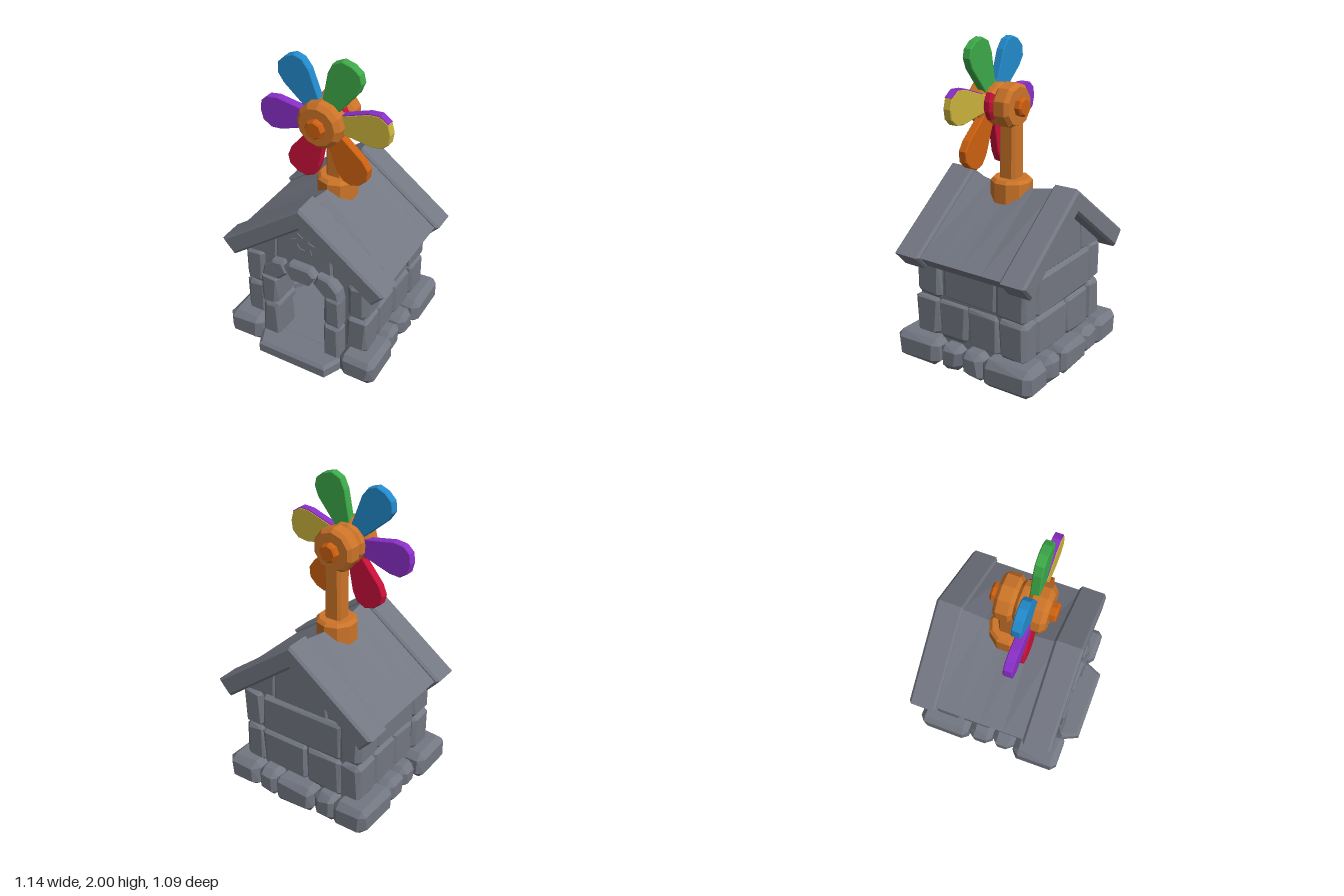
import * as THREE from 'three';
import { ConvexGeometry } from 'three/addons/geometries/ConvexGeometry.js';

const mat = (name, color) => {
  const m = new THREE.MeshStandardMaterial({ color });
  m.name = name;
  return m;
};

// Small seeded generator for irregular stones
let seed = 7;
const rnd = () => {
  seed = (seed * 16807) % 2147483647;
  return seed / 2147483647;
};
const jit = (a) => (rnd() - 0.5) * 2 * a;

// Chamfered, slightly irregular block between two corners
function block(x0, x1, y0, y1, z0, z1, c = 0.03, wobble = 0.008) {
  const pts = [];
  const mid = [(x0 + x1) / 2, (y0 + y1) / 2, (z0 + z1) / 2];
  const half = [(x1 - x0) / 2, (y1 - y0) / 2, (z1 - z0) / 2];
  for (const sx of [-1, 1]) for (const sy of [-1, 1]) for (const sz of [-1, 1]) {
    const s = [sx, sy, sz];
    const k = c + jit(wobble);
    for (let face = 0; face < 3; face++) {
      const p = s.map((sign, i) => mid[i] + sign * (half[i] - (i === face ? 0 : Math.max(0.002, k + jit(wobble)))));
      pts.push(new THREE.Vector3(...p));
    }
  }
  return new ConvexGeometry(pts);
}

// Extruded polygon from z0 to z1 with a bevel that stays inside the outline
function slab(points, z0, z1, bevel = 0.012, holes = [], steps = 1) {
  const shape = new THREE.Shape(points.map((p) => new THREE.Vector2(...p)));
  for (const h of holes) shape.holes.push(new THREE.Path(h.map((p) => new THREE.Vector2(...p))));
  const g = new THREE.ExtrudeGeometry(shape, {
    depth: z1 - z0 - 2 * bevel, steps, bevelEnabled: bevel > 0,
    bevelThickness: bevel, bevelSize: bevel, bevelOffset: -bevel, bevelSegments: 1,
  });
  return g.translate(0, 0, z0 + bevel);
}

// Faceted chamfered disc on the z axis
function disc(r, z0, z1, b, sides, start = 0, length = Math.PI * 2) {
  const h = z1 - z0;
  const profile = [[0, 0], [r - b, 0], [r, b], [r, h - b], [r - b, h], [0, h]];
  const g = new THREE.LatheGeometry(profile.map((p) => new THREE.Vector2(...p)), sides, start, length).toNonIndexed();
  g.computeVertexNormals();
  return g.rotateX(Math.PI / 2).translate(0, 0, z0);
}

const mirror = (pts) => pts.map(([x, y]) => [-x, y]).reverse();

export function createModel() {
  seed = 7;
  const root = new THREE.Group();
  const stone = mat('stone grey', 0x737782);
  const wood = mat('hub orange', 0xcc7428);
  const orange = mat('deep orange', 0xcc6010);
  const red = mat('red', 0xc8103a);
  const purple = mat('purple', 0x8a2fc8);
  const blue = mat('blue', 0x228acb);
  const green = mat('green', 0x3ca848);
  const yellow = mat('yellow', 0xc9b23c);

  const group = (name, parent = root) => {
    const g = new THREE.Group();
    g.name = name;
    parent.add(g);
    return g;
  };
  const add = (parent, name, geo, m = stone) => {
    const mesh = new THREE.Mesh(geo, m);
    mesh.name = name;
    parent.add(mesh);
    return mesh;
  };

  // Foundation: floor, ring of rounded stones and doorstep
  const base = group('foundation');
  add(base, 'floor', block(-0.4, 0.4, 0.01, 0.1, -0.45, 0.41, 0.01, 0));
  for (const s of [-1, 1]) {
    for (const [z0, z1, out, y1] of [[0.14, 0.46, 0.53, 0.19], [-0.02, 0.14, 0.5, 0.17],
      [-0.19, -0.02, 0.51, 0.18], [-0.54, -0.19, 0.53, 0.19]]) {
      const [a, b] = s > 0 ? [0.29, out] : [-out, -0.29];
      add(base, 'foundationStone', block(a, b, 0.005, y1, z0, z1, 0.04));
    }
  }
  for (const [a, b, z] of [[-0.3, -0.14, -0.53], [-0.14, 0.14, -0.545], [0.14, 0.3, -0.535]]) {
    add(base, 'backFoundationStone', block(a, b, 0.005, 0.18, z, -0.36, 0.035));
  }
  const step = [[-0.29, -0.34], [-0.29, -0.43], [-0.24, -0.54], [0.24, -0.54], [0.29, -0.43], [0.29, -0.34]].reverse();
  add(base, 'doorstep', slab(step.reverse(), 0.015, 0.115, 0.02).rotateX(-Math.PI / 2).scale(1, 1, 1));

  // Wall cores
  const walls = group('walls');
  const house = [[-0.41, 0.08], [0.41, 0.08], [0.41, 0.74], [0, 1.05], [-0.41, 0.74]];
  const door = [[-0.19, 0.1], [-0.19, 0.57], [-0.1, 0.65], [0.1, 0.65], [0.19, 0.57], [0.19, 0.1]];
  add(walls, 'frontWall', slab(house, 0.24, 0.34, 0, [door]));
  add(walls, 'backWall', slab(house, -0.42, -0.34, 0));
  for (const s of [-1, 1]) {
    add(walls, 'sideWall', new THREE.BoxGeometry(0.08, 0.62, 0.7).translate(s * 0.37, 0.39, -0.05));
  }
  add(walls, 'innerStone', block(-0.16, 0.16, 0.1, 0.24, -0.36, -0.24, 0.02));

  // Courses of wall stones
  const courses = [
    [0.18, 0.435, [0.365, 0.19, -0.03, -0.26, -0.45]],
    [0.44, 0.7, [0.365, 0.17, -0.24, -0.45]],
  ];
  for (const s of [-1, 1]) for (const [y0, y1, cuts] of courses) {
    for (let i = 0; i < cuts.length - 1; i++) {
      const end = i === 0 || i === cuts.length - 2;
      const out = end ? 0.44 : 0.43 + jit(0.006);
      const [a, b] = s > 0 ? [0.295, out] : [-out, -0.295];
      add(walls, 'sideStone', block(a, b, y0, y1, cuts[i + 1], cuts[i], 0.024));
    }
  }
  for (const [a, b, y0, y1] of [[-0.3, -0.04, 0.17, 0.43], [-0.04, 0.3, 0.17, 0.43], [-0.3, 0.3, 0.43, 0.69]]) {
    add(walls, 'backStone', block(a, b, y0, y1, -0.45, -0.34, 0.022));
  }

  // Gable stones, front and back
  const gables = group('gables');
  const sideGable = [[0.2, 0.7], [0.43, 0.69], [0.19, 0.9]];
  const midGable = [[-0.2, 0.69], [0.2, 0.69], [0.19, 0.9], [0, 1.05], [-0.19, 0.9]];
  for (const [z0, z1] of [[0.32, 0.365], [-0.44, -0.4]]) {
    add(gables, 'gableStone', slab(sideGable, z0, z1 - 0.005));
    add(gables, 'gableStone', slab(mirror(sideGable), z0, z1 - 0.005));
    add(gables, 'gableCentreStone', slab(midGable, z0, z1));
  }

  // Carved star on the front gable
  const star = [], ring = [];
  for (let i = 0; i < 14; i++) {
    const a = (i / 14) * Math.PI * 2 + 0.2;
    const r = i % 2 ? 0.052 : 0.085;
    star.push([Math.cos(a) * r, 0.88 + Math.sin(a) * r]);
    if (i % 2) ring.push([Math.cos(a) * 0.038, 0.88 + Math.sin(a) * 0.038]);
  }
  add(gables, 'carvedStar', slab(star, 0.362, 0.371, 0, [ring]));

  // Door arch
  const arch = group('doorArch');
  const voussoir = [[0.165, 0.57], [0.28, 0.57], [0.265, 0.645], [0.2, 0.715], [0.125, 0.725], [0.09, 0.645]];
  for (const s of [-1, 1]) {
    const [a, b] = s > 0 ? [0.165, 0.28] : [-0.28, -0.165];
    add(arch, 'pillarStone', block(a, b, 0.09, 0.36, 0.22, 0.42, 0.018));
    add(arch, 'pillarStone', block(a, b, 0.36, 0.58, 0.22, 0.42, 0.018));
    add(arch, 'archStone', slab(s > 0 ? voussoir : mirror(voussoir), 0.22, 0.415, 0.015));
  }
  add(arch, 'keystone', slab([[-0.06, 0.615], [0.06, 0.615], [0.115, 0.7], [0.07, 0.745], [-0.07, 0.745], [-0.115, 0.7]], 0.22, 0.425, 0.015));

  // Roof: two raised end slabs and a sagging middle
  const roof = group('roof');
  const chevron = (top, ex, ey, ix, iy, under) => [[0, top], [-ex, ey], [-ix, iy], [0, under], [ix, iy], [ex, ey]];
  const endProfile = chevron(1.165, 0.57, 0.74, 0.485, 0.645, 1.016);
  add(roof, 'frontRoofSlab', slab(endProfile, 0.23, 0.415, 0.015));
  add(roof, 'backRoofSlab', slab(endProfile, -0.53, -0.355, 0.015));
  const mid = slab(chevron(1.14, 0.54, 0.735, 0.475, 0.665, 1.016), -0.37, 0.25, 0, [], 4);
  const p = mid.attributes.position;
  for (let i = 0; i < p.count; i++) {
    if (Math.abs(p.getX(i)) < 0.01 && p.getY(i) > 1.08) {
      const t = (p.getZ(i) + 0.06) / 0.31;
      p.setY(i, p.getY(i) - 0.04 * (1 - t * t));
    }
  }
  mid.computeVertexNormals();
  add(roof, 'middleRoof', mid);

  // Post on the ridge
  const post = group('windmillPost');
  add(post, 'postFoot', disc(0.13, -1.16, -0.98, 0.02, 10).rotateX(Math.PI / 2).translate(0, 0, -0.055), wood);
  add(post, 'post', block(-0.058, 0.058, 1.1, 1.55, -0.11, 0.003, 0.018, 0.003), wood);
  const head = group('postHead', post);
  head.position.y = 1.6;
  add(head, 'postHeadDisc', disc(0.14, -0.112, 0.003, 0.022, 10), wood);
  add(head, 'backBolt', disc(0.06, -0.155, -0.1, 0.012, 8), orange);

  // Pinwheel
  const wheel = group('pinwheel');
  wheel.position.y = 1.6;
  add(wheel, 'frontHub', disc(0.145, 0.06, 0.195, 0.028, 12), wood);
  add(wheel, 'frontBolt', disc(0.06, 0.18, 0.235, 0.01, 8), orange);
  const deg = Math.PI / 180;
  add(wheel, 'backHub', disc(0.13, 0.003, 0.07, 0.018, 9, 130 * deg, 280 * deg), wood);
  add(wheel, 'backHubPatch', disc(0.13, 0.003, 0.07, 0.018, 3, 50 * deg, 80 * deg), red);

  const blade = [[0.08, -0.05], [0.13, -0.06], [0.3, -0.107], [0.37, -0.104], [0.415, -0.07], [0.43, -0.01],
    [0.42, 0.055], [0.37, 0.098], [0.3, 0.1], [0.13, 0.06], [0.08, 0.05]];
  [yellow, green, blue, purple, red, orange].forEach((m, i) => {
    const arm = group('blade', wheel);
    arm.rotation.z = (6 + 60 * i) * deg;
    add(arm, m.name + 'Blade', slab(blade, 0.065, 0.12, 0.005), m);
    if (i > 0) return;
    // Purple upper edge of the first blade
    for (let k = 6; k < 9; k++) {
      const [x0, y0] = blade[k], [x1, y1] = blade[k + 1];
      const edge = new THREE.BoxGeometry(Math.hypot(x1 - x0, y1 - y0), 0.006, 0.05);
      edge.rotateZ(Math.atan2(y0 - y1, x0 - x1)).translate((x0 + x1) / 2, (y0 + y1) / 2, 0.0925);
      add(arm, 'bladeEdge', edge, purple);
    }
  });
  return root;
}
